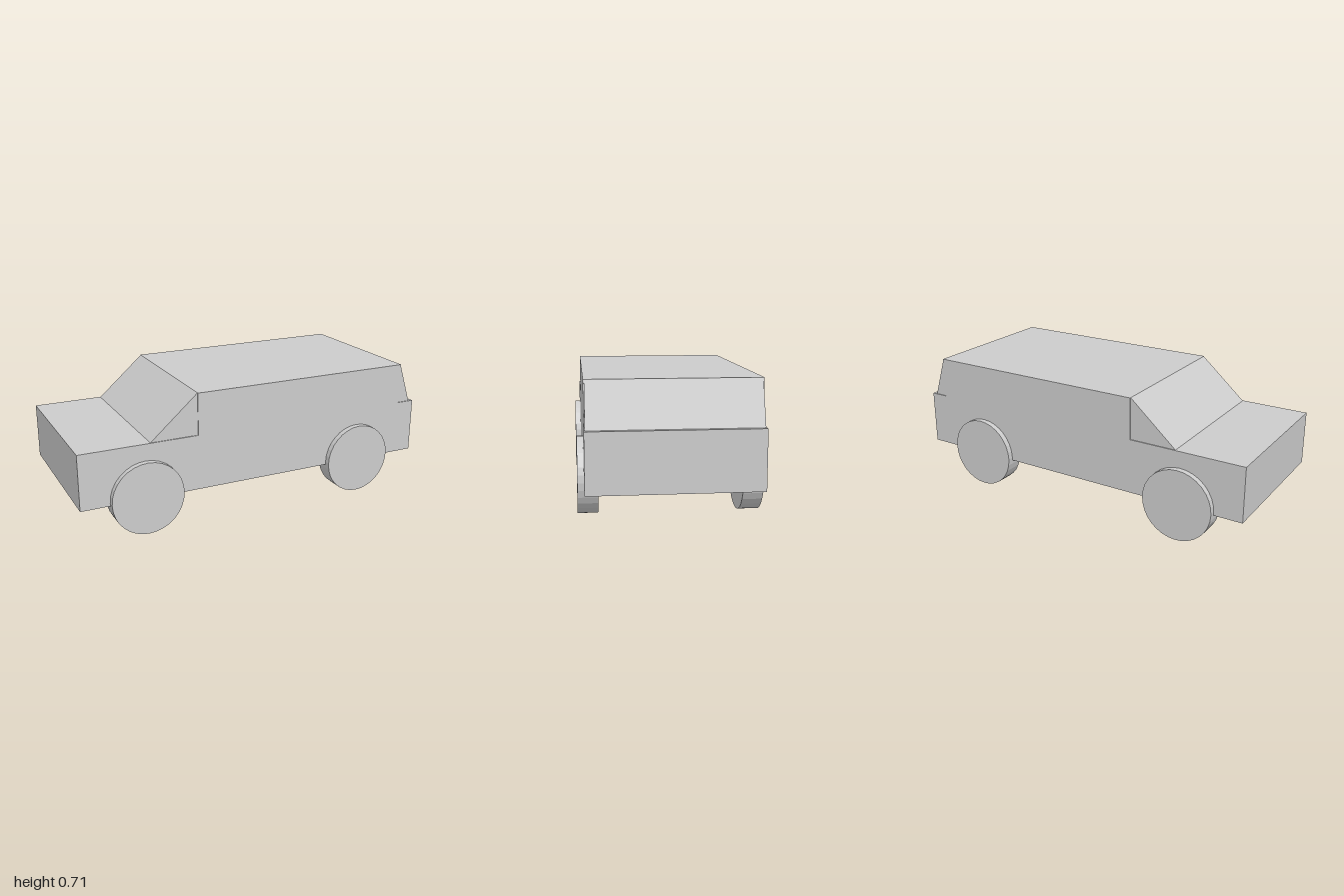
import * as THREE from 'three';

const material = new THREE.MeshStandardMaterial({ color: 0xcccccc, flatShading: true });

// Box given by its lower and upper corners in x and y, centred on z
function slab(name, x0, x1, y0, y1, width) {
  const mesh = new THREE.Mesh(new THREE.BoxGeometry(x1 - x0, y1 - y0, width), material);
  mesh.name = name;
  mesh.position.set((x0 + x1) / 2, (y0 + y1) / 2, 0);
  return mesh;
}

// Side outline extruded across the car
function wedge(name, points, width) {
  const shape = new THREE.Shape(points.map(([x, y]) => new THREE.Vector2(x, y)));
  const geometry = new THREE.ExtrudeGeometry(shape, { depth: width, bevelEnabled: false });
  geometry.translate(0, 0, -width / 2);
  const mesh = new THREE.Mesh(geometry, material);
  mesh.name = name;
  return mesh;
}

export function createModel() {
  const car = new THREE.Group();
  car.name = 'car';

  const bodyWidth = 0.85, glassWidth = 0.84;
  const floor = 0.18, waist = 0.48, roof = 0.707;

  // Lower body and passenger cabin
  car.add(slab('lowerBody', -1, 1, floor, waist, bodyWidth));
  car.add(slab('cabin', -0.36, 0.9, waist, roof, bodyWidth));

  // Sloping windscreen and tailgate, slightly narrower than the cabin
  car.add(wedge('windscreen', [[-0.62, waist], [-0.36, waist], [-0.36, roof]], glassWidth));
  car.add(wedge('rearWindow', [[0.9, waist], [0.975, waist], [0.9, roof]], glassWidth));

  // Four wheels
  const radius = 0.195, tread = 0.102;
  const wheelGeometry = new THREE.CylinderGeometry(radius, radius, tread, 32);
  wheelGeometry.rotateX(Math.PI / 2);
  for (const [axle, x] of [['front', -0.65], ['rear', 0.615]]) {
    for (const side of [-1, 1]) {
      const wheel = new THREE.Mesh(wheelGeometry, material);
      wheel.name = axle + (side > 0 ? 'NearWheel' : 'FarWheel');
      wheel.position.set(x, radius, side * 0.406);
      car.add(wheel);
    }
  }
  return car;
}
